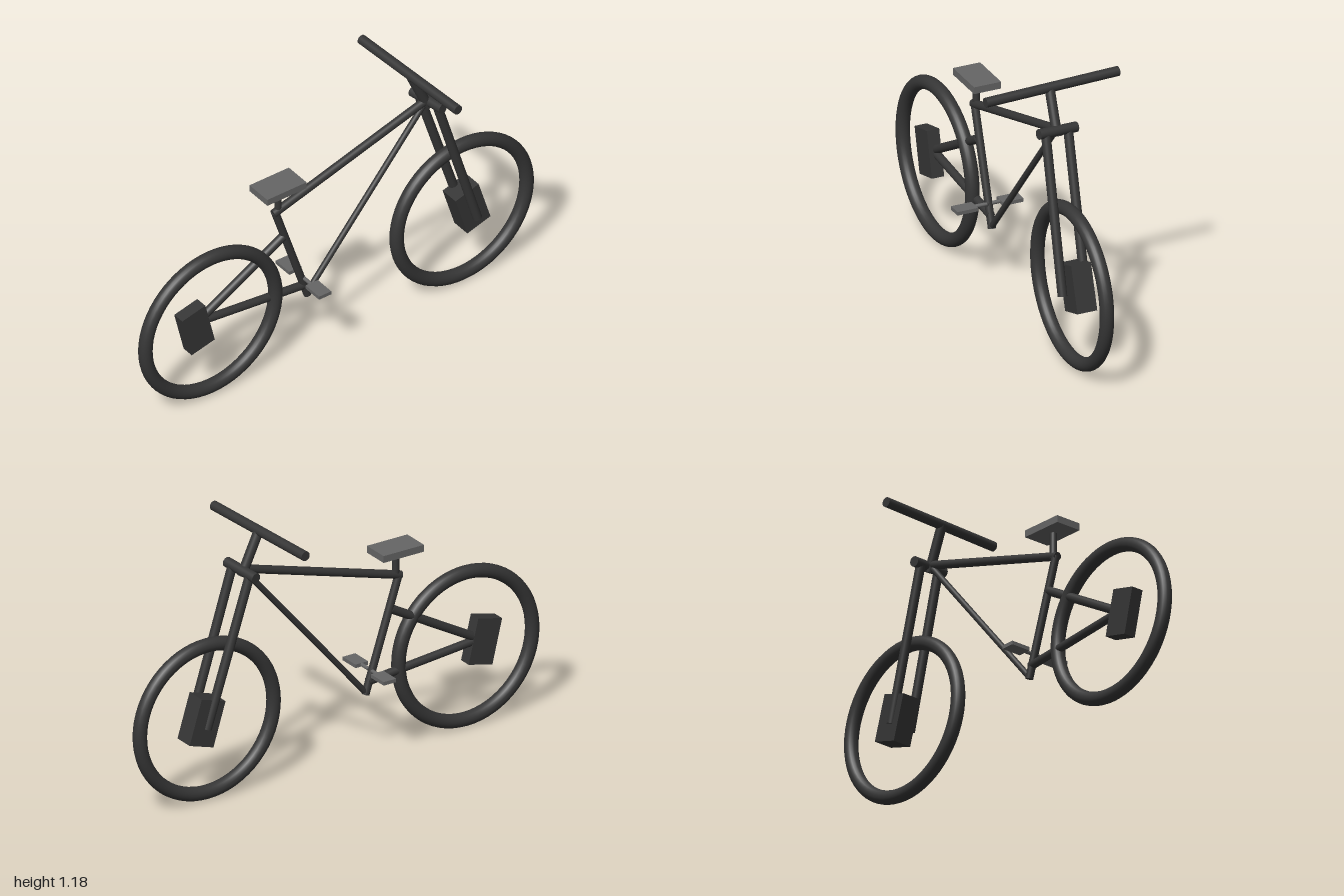
import * as THREE from 'three';

const dark = new THREE.MeshStandardMaterial({ color: 0x363636 });
const grey = new THREE.MeshStandardMaterial({ color: 0x666666 });

export function createModel() {
  const model = new THREE.Group();

  const add = (name, geometry, material, position) => {
    const mesh = new THREE.Mesh(geometry, material);
    mesh.name = name;
    mesh.position.set(...position);
    model.add(mesh);
    return mesh;
  };

  // Straight round bar between two points
  const bar = (name, from, to, radius, material = dark) => {
    const a = new THREE.Vector3(...from), b = new THREE.Vector3(...to);
    const dir = b.clone().sub(a);
    const mid = a.clone().add(b).multiplyScalar(0.5);
    const mesh = add(name, new THREE.CylinderGeometry(radius, radius, dir.length(), 24), material, mid.toArray());
    mesh.quaternion.setFromUnitVectors(new THREE.Vector3(0, 1, 0), dir.normalize());
    return mesh;
  };

  const box = (name, size, position, tilt = 0, material = dark) => {
    add(name, new THREE.BoxGeometry(...size), material, position).rotation.x = tilt;
  };

  // Wheels (the handlebar end points to -z)
  for (const [name, z] of [['rearWheel', 0.64], ['frontWheel', -0.64]]) {
    add(name, new THREE.TorusGeometry(0.331, 0.03, 20, 64), dark, [0.023, 0.363, z]).rotation.y = Math.PI / 2;
  }

  // Hub blocks
  box('rearHub', [0.056, 0.203, 0.121], [0.022, 0.372, 0.72], 0.24);
  box('frontHub', [0.09, 0.203, 0.123], [0.012, 0.37, -0.673], 0.3);

  // Frame
  bar('topTube', [0.016, 0.77, 0.315], [0.012, 1.003, -0.475], 0.018);
  bar('seatTube', [0.015, 0.775, 0.305], [0.015, 0.275, 0.14], 0.017);
  bar('downTube', [0.015, 0.285, 0.14], [0.012, 0.995, -0.465], 0.013);
  bar('seatStay', [0.015, 0.63, 0.265], [0.013, 0.39, 0.69], 0.019);
  bar('chainStay', [0.013, 0.382, 0.69], [0.015, 0.33, 0.15], 0.018);

  // Fork, stem and handlebar, turned slightly to one side
  bar('forkCrown', [-0.08, 0.99, -0.465], [0.102, 1.002, -0.487], 0.022);
  bar('rightForkLeg', [-0.04, 0.995, -0.468], [-0.024, 0.342, -0.67], 0.02);
  bar('leftForkLeg', [0.068, 1.0, -0.482], [0.084, 0.342, -0.675], 0.02);
  bar('stem', [0.008, 1.157, -0.392], [0.012, 0.97, -0.475], 0.021);
  bar('handlebar', [-0.312, 1.156, -0.376], [0.309, 1.158, -0.412], 0.021);

  // Saddle
  bar('seatPost', [0.015, 0.765, 0.29], [0.015, 0.885, 0.29], 0.015);
  box('seat', [0.123, 0.031, 0.2], [0.012, 0.896, 0.287], 0, grey);

  // Pedals
  bar('crank', [0.02, 0.32, 0.16], [0.02, 0.38, 0.168], 0.011);
  bar('pedalAxle', [-0.05, 0.377, 0.167], [0.095, 0.377, 0.167], 0.008, grey);
  for (const [name, x] of [['rightPedal', -0.08], ['leftPedal', 0.127]]) {
    box(name, [0.094, 0.016, 0.062], [x, 0.377, 0.166], 0, grey);
  }

  return model;
}
